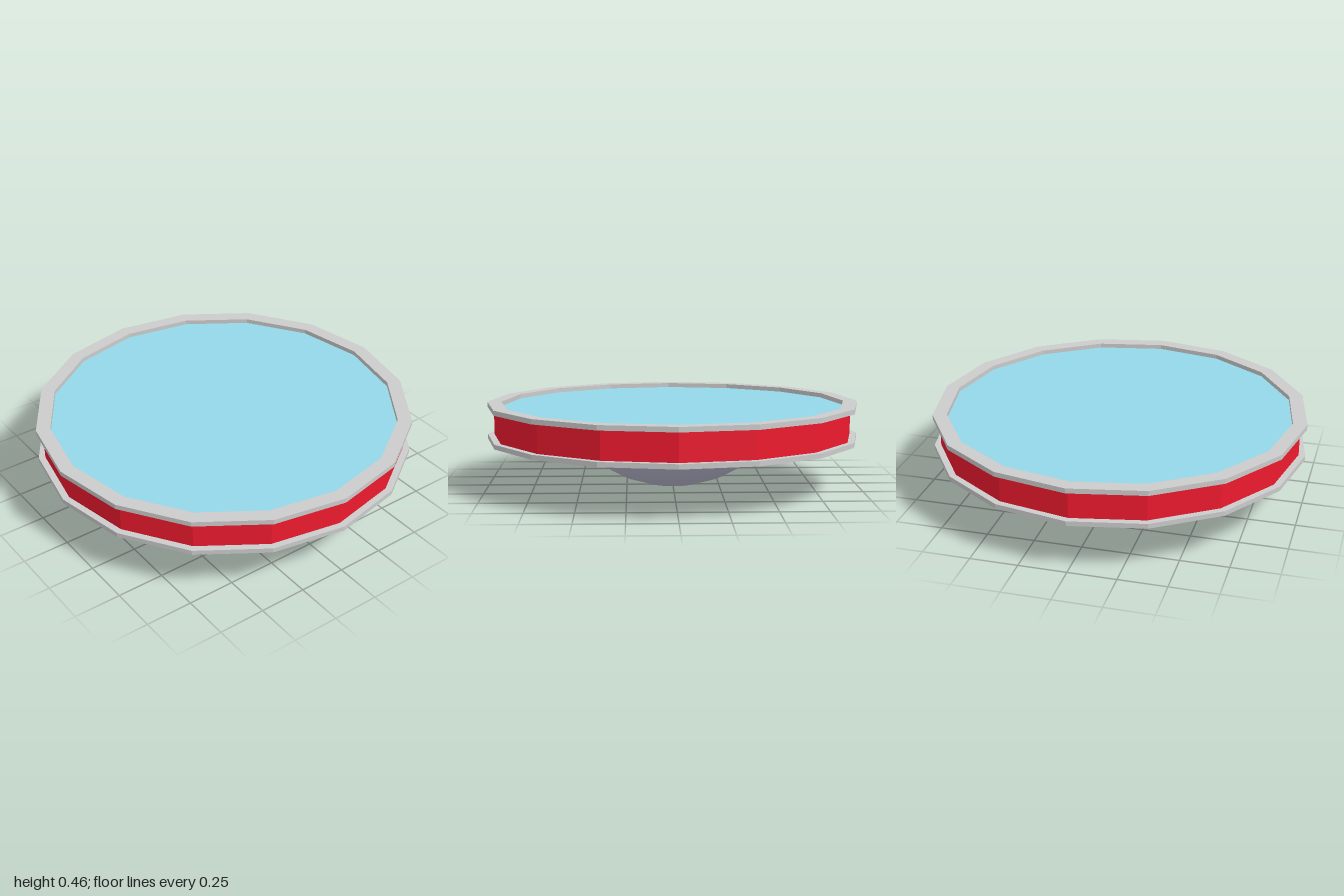
import * as THREE from 'three';

const SIDES = 16;

export function createModel() {
  const model = new THREE.Group();
  model.name = 'domedDisc';

  const add = (name, geometry, color, y = 0, flatShading = true) => {
    const mesh = new THREE.Mesh(geometry, new THREE.MeshStandardMaterial({ color, flatShading }));
    mesh.name = name;
    mesh.position.y = y;
    model.add(mesh);
    return mesh;
  };

  // Flat-sided hoop with a square section
  const hoop = (inner, outer, y0, y1) => new THREE.LatheGeometry(
    [[inner, y0], [outer, y0], [outer, y1], [inner, y1], [inner, y0]].map(([r, y]) => new THREE.Vector2(r, y)),
    SIDES
  );

  // Rims above and below the wall
  add('upperRim', hoop(0.925, 1, 0.434, 0.46), 0xcccccc);
  add('lowerRim', hoop(0.925, 1, 0.26, 0.285), 0xcccccc);

  // Red side wall between the rims
  add('sideWall', new THREE.CylinderGeometry(0.965, 0.965, 0.15, SIDES, 1, true), 0xee1a2e, 0.36);

  // Recessed top panel and flush underside
  const top = add('topPanel', new THREE.CircleGeometry(0.93, SIDES), 0x93d7e8, 0.436);
  top.rotation.x = -Math.PI / 2;
  const base = add('basePanel', new THREE.CircleGeometry(0.965, SIDES), 0x4830c8, 0.258);
  base.rotation.x = Math.PI / 2;

  // Smooth shallow dome bulging from the underside
  const dome = new THREE.SphereGeometry(0.7, 32, 5, 0, Math.PI * 2, Math.PI * 11 / 16, Math.PI * 5 / 16);
  add('bottomDome', dome, 0xbcbcd2, 0.704, false);

  return model;
}
